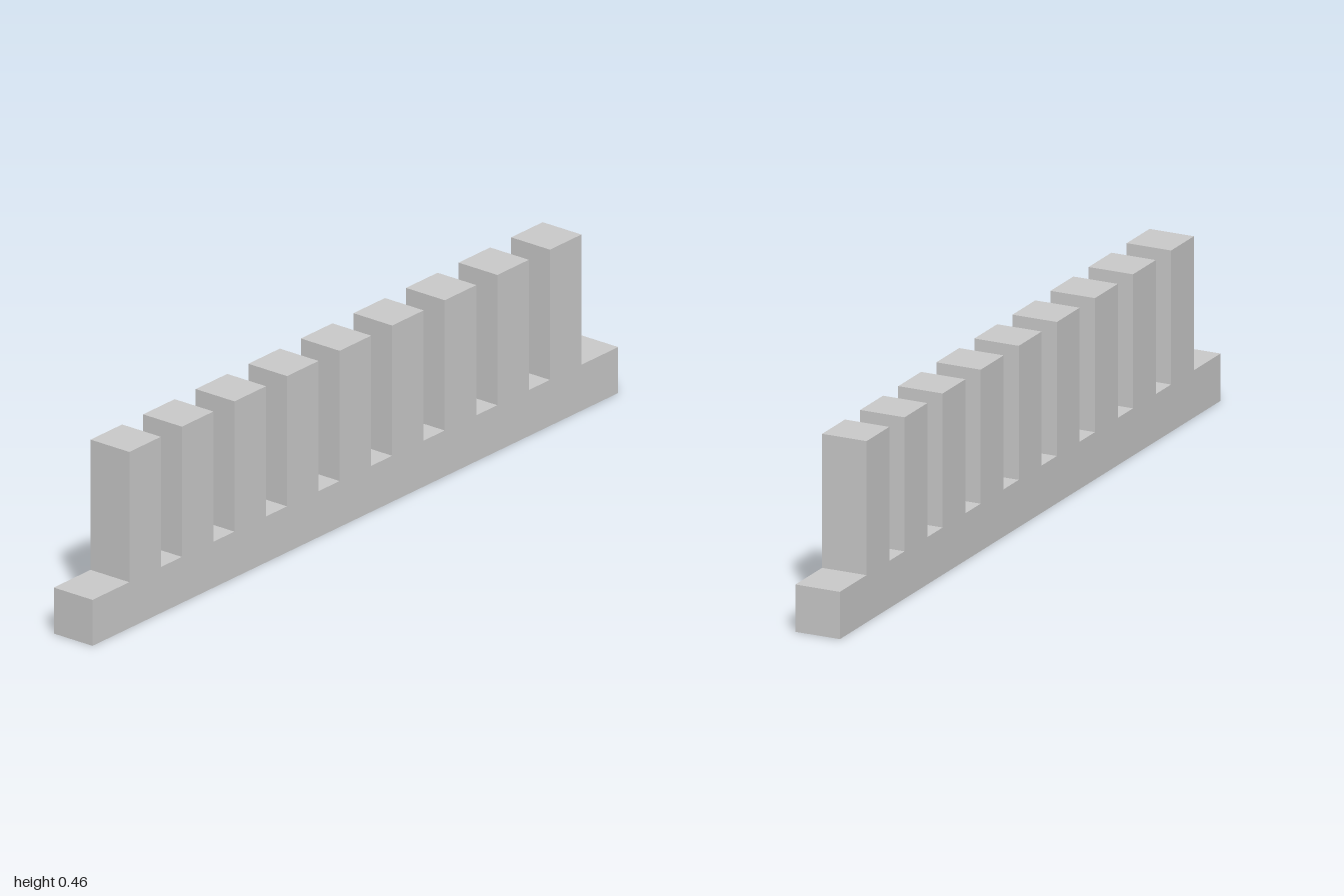
import * as THREE from 'three';

const LENGTH = 2, DEPTH = 0.12, BASE_H = 0.12, TOP = 0.46;
const TEETH = 9, PITCH = 0.2, TOOTH_W = 0.12;

export function createModel() {
  const group = new THREE.Group();
  group.name = 'toothedRack';

  // Comb outline: flat underside, then the teeth from right to left
  const outline = new THREE.Shape();
  outline.moveTo(-LENGTH / 2, 0);
  outline.lineTo(LENGTH / 2, 0);
  outline.lineTo(LENGTH / 2, BASE_H);
  for (let i = TEETH - 1; i >= 0; i--) {
    const x = (i - (TEETH - 1) / 2) * PITCH;
    outline.lineTo(x + TOOTH_W / 2, BASE_H);
    outline.lineTo(x + TOOTH_W / 2, TOP);
    outline.lineTo(x - TOOTH_W / 2, TOP);
    outline.lineTo(x - TOOTH_W / 2, BASE_H);
  }
  outline.lineTo(-LENGTH / 2, BASE_H);
  outline.closePath();

  // One solid bar with its teeth, centred in depth
  const geometry = new THREE.ExtrudeGeometry(outline, { depth: DEPTH, bevelEnabled: false });
  geometry.translate(0, 0, -DEPTH / 2);
  const rack = new THREE.Mesh(
    geometry,
    new THREE.MeshStandardMaterial({ color: 0xcccccc, flatShading: true })
  );
  rack.name = 'toothedBar';
  group.add(rack);
  return group;
}
